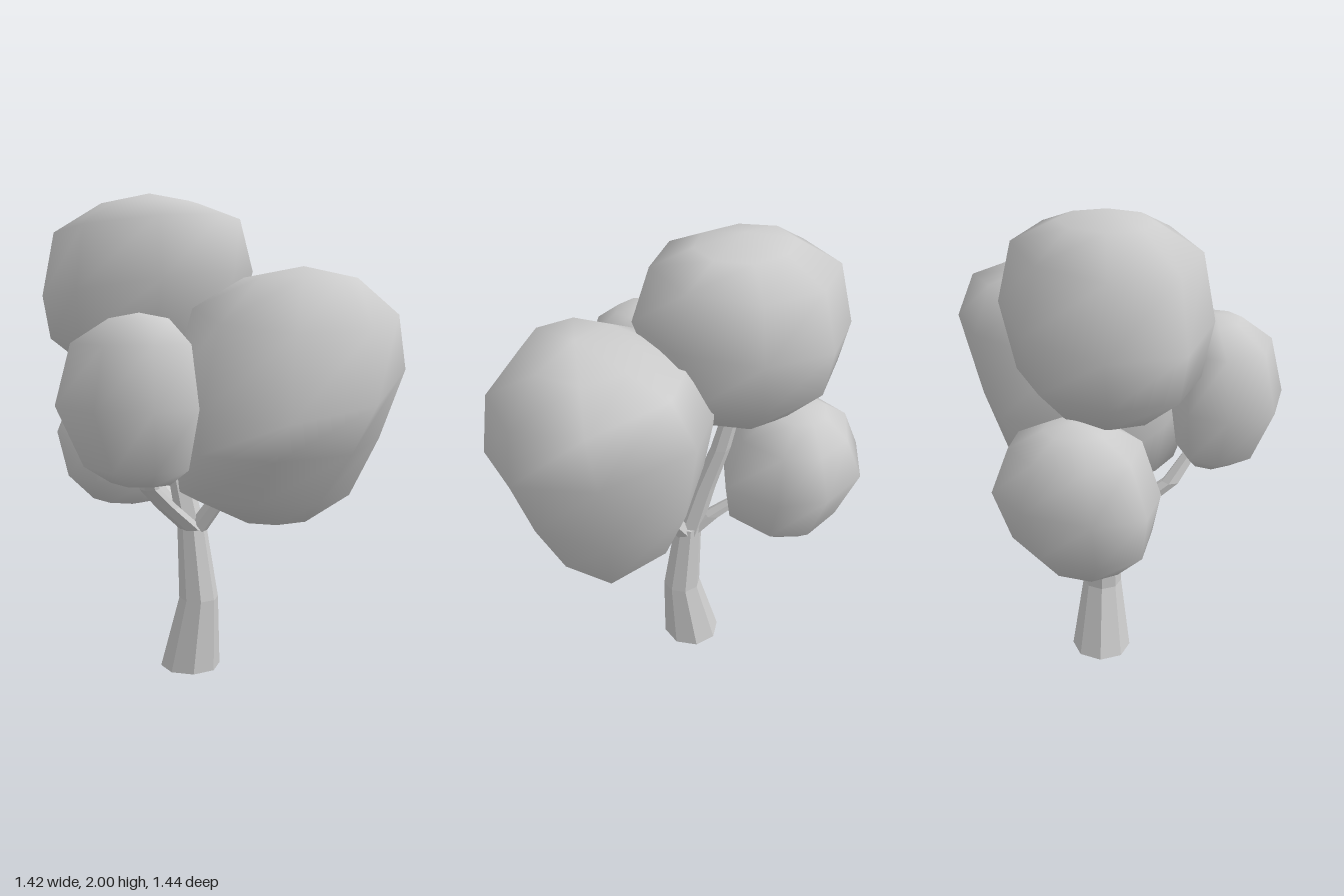
import * as THREE from 'three';

const grey = new THREE.MeshStandardMaterial({ color: 0xcccccc });
grey.name = 'plain grey';

// Scale an outline of [x, z] points so that it spans -1..1 both ways
function unitOutline(points) {
  const fit = (k) => {
    const v = points.map((p) => p[k]);
    const lo = Math.min(...v), hi = Math.max(...v);
    return v.map((n) => (2 * (n - lo)) / (hi - lo) - 1);
  };
  const xs = fit(0), zs = fit(1);
  return xs.map((x, i) => [x, zs[i]]);
}

// Skin between rings from bottom to top, closed by a pole at each end.
// ring: [y, xMin, xMax, zMin, zMax, slopeX, slopeZ]; pole: [x, y, z]
function loft(outline, rings, bottom, top) {
  const pos = [], idx = [], n = outline.length;
  for (const [y, x0, x1, z0, z1, sx = 0, sz = 0] of rings) {
    const hx = (x1 - x0) / 2, hz = (z1 - z0) / 2;
    for (const [u, v] of outline) {
      pos.push((x0 + x1) / 2 + u * hx, y + sx * u * hx + sz * v * hz, (z0 + z1) / 2 + v * hz);
    }
  }
  const low = rings.length * n, high = low + 1, last = (rings.length - 1) * n;
  pos.push(...bottom, ...top);
  for (let j = 0; j < n; j++) {
    const k = (j + 1) % n;
    for (let i = 0; i < rings.length - 1; i++) {
      const a = i * n + j, b = i * n + k;
      idx.push(a, a + n, b, b, a + n, b + n);
    }
    idx.push(low, j, k, high, last + k, last + j);
  }
  const geo = new THREE.BufferGeometry();
  geo.setAttribute('position', new THREE.Float32BufferAttribute(pos, 3));
  geo.setIndex(idx);
  geo.computeVertexNormals();
  return geo;
}

// Faceted limb through points [x, y, z, radius]
function limb(points, sides) {
  const outline = Array.from({ length: sides }, (_, i) => {
    const a = (i / sides) * Math.PI * 2 + 0.2;
    return [Math.cos(a), Math.sin(a)];
  });
  const rings = points.map(([x, y, z, r]) => [y, x - r, x + r, z - r, z + r]);
  const geo = loft(outline, rings, points[0].slice(0, 3), points.at(-1).slice(0, 3)).toNonIndexed();
  geo.computeVertexNormals();
  return geo;
}

// Leaf clumps: plan outline, rings from bottom to top, and end poles
const clumps = {
  topFoliage: {
    outline: [[-0.47, -0.56], [-0.14, -0.58], [0.13, -0.39], [0.2, -0.07], [0.03, 0.18], [-0.28, 0.22], [-0.57, 0], [-0.65, -0.32]],
    rings: [
      [1.25, -0.44, -0.02, -0.39, 0.03],
      [1.4, -0.62, 0.12, -0.54, 0.14],
      [1.63, -0.65, 0.2, -0.58, 0.22, 0.1, 0.06],
      [1.87, -0.6, 0.15, -0.52, 0.15, 0.06, 0.06],
      [1.96, -0.41, -0.02, -0.36, 0.0],
    ],
    bottom: [-0.22, 1.19, -0.18], top: [-0.22, 2.0, -0.18],
  },
  frontFoliage: {
    outline: [[0.39, -0.24], [0.705, 0], [0.68, 0.38], [0.4, 0.67], [0.03, 0.72], [-0.24, 0.53], [-0.26, 0.22], [0, -0.17]],
    rings: [
      [0.69, 0.03, 0.37, 0.04, 0.38],
      [0.79, -0.21, 0.51, -0.06, 0.48, -0.06, 0],
      [1.02, -0.24, 0.61, -0.17, 0.64, 0, -0.08],
      [1.28, -0.25, 0.71, -0.24, 0.72, 0.1, -0.27],
      [1.53, -0.17, 0.67, -0.14, 0.67, 0, -0.2],
      [1.65, 0.03, 0.49, 0.05, 0.52],
    ],
    bottom: [0.3, 0.655, 0.18], top: [0.27, 1.695, 0.3],
  },
  sideFoliage: {
    outline: [[-0.45, 0.05], [-0.28, 0.2], [-0.22, 0.39], [-0.25, 0.55], [-0.43, 0.605], [-0.62, 0.52], [-0.71, 0.27], [-0.61, 0.08]],
    rings: [
      [0.885, -0.51, -0.3, 0.21, 0.44],
      [0.95, -0.61, -0.24, 0.13, 0.53],
      [1.18, -0.71, -0.21, 0.05, 0.605],
      [1.41, -0.65, -0.23, 0.1, 0.55],
      [1.5, -0.51, -0.3, 0.21, 0.44],
    ],
    bottom: [-0.4, 0.865, 0.32], top: [-0.4, 1.52, 0.32],
  },
  backFoliage: {
    outline: [[-0.47, -0.64], [-0.23, -0.72], [-0.03, -0.64], [0.05, -0.46], [-0.02, -0.21], [-0.25, -0.11], [-0.48, -0.2], [-0.57, -0.44]],
    rings: [
      [0.68, -0.43, -0.11, -0.54, -0.24],
      [0.79, -0.54, 0.02, -0.63, -0.14],
      [0.98, -0.58, 0.06, -0.72, -0.11, 0, -0.12],
      [1.18, -0.5, 0, -0.65, -0.18],
      [1.255, -0.38, -0.14, -0.55, -0.31],
    ],
    bottom: [-0.25, 0.64, -0.41], top: [-0.25, 1.275, -0.43],
  },
};

// Trunk with flared foot, and the branches that carry the clumps
const limbs = {
  trunk: [[-0.095, 0, -0.03, 0.127], [-0.07, 0.31, 0.01, 0.083], [-0.095, 0.64, -0.01, 0.06]],
  mainBranch: [[-0.095, 0.6, -0.01, 0.058], [-0.13, 0.85, -0.07, 0.05], [-0.16, 1.05, -0.13, 0.042], [-0.2, 1.3, -0.18, 0.035]],
  frontBranch: [[-0.08, 0.6, 0, 0.05], [-0.01, 0.72, 0.05, 0.045], [0.08, 0.85, 0.13, 0.035]],
  sideBranch: [[-0.1, 0.61, 0.01, 0.05], [-0.22, 0.72, 0.07, 0.047], [-0.32, 0.82, 0.15, 0.04], [-0.36, 0.93, 0.23, 0.032]],
  backBranch: [[-0.1, 0.6, -0.02, 0.045], [-0.14, 0.7, -0.11, 0.04], [-0.19, 0.79, -0.22, 0.03]],
};

export function createModel() {
  const tree = new THREE.Group();
  tree.name = 'tree';
  const add = (name, geometry) => {
    const mesh = new THREE.Mesh(geometry, grey);
    mesh.name = name;
    tree.add(mesh);
  };
  for (const [name, c] of Object.entries(clumps)) {
    add(name, loft(unitOutline(c.outline), c.rings, c.bottom, c.top));
  }
  for (const [name, points] of Object.entries(limbs)) {
    add(name, limb(points, name === 'trunk' ? 8 : 6));
  }
  return tree;
}
